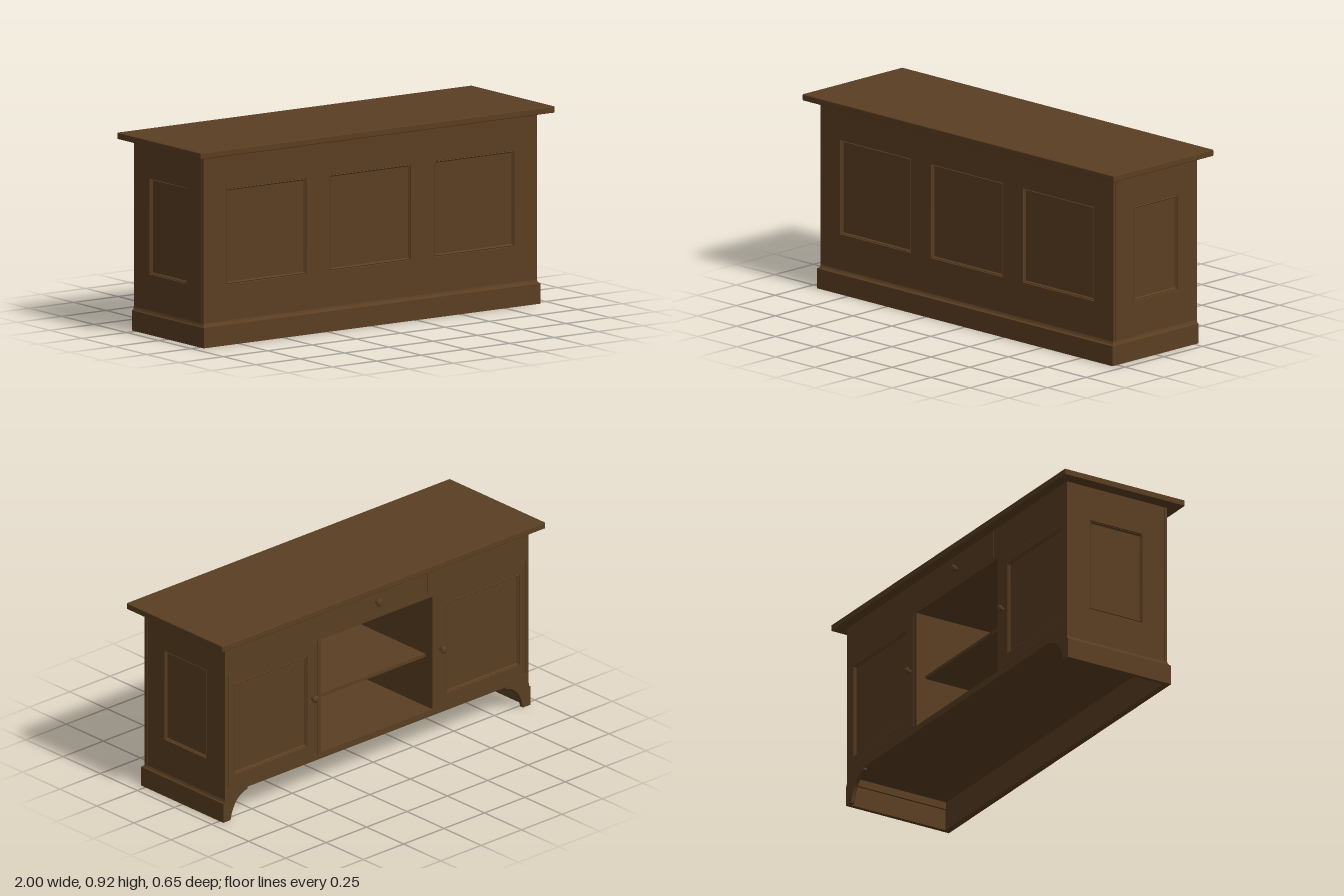
import * as THREE from 'three';
import { toCreasedNormals } from 'three/addons/utils/BufferGeometryUtils.js';
import { RoundedBoxGeometry } from 'three/addons/geometries/RoundedBoxGeometry.js';

const wood = new THREE.MeshStandardMaterial({ color: 0x5a3e22 });
wood.name = 'dark wood';

function mesh(name, geometry, parent) {
  const m = new THREE.Mesh(geometry, wood);
  m.name = name;
  parent.add(m);
  return m;
}

// Box given by its limits on each axis
function box(name, parent, x0, x1, y0, y1, z0, z1) {
  const m = mesh(name, new THREE.BoxGeometry(x1 - x0, y1 - y0, z1 - z0), parent);
  m.position.set((x0 + x1) / 2, (y0 + y1) / 2, (z0 + z1) / 2);
}

function corners([x0, x1, y0, y1], inset = 0) {
  return [[x0 + inset, y0 + inset], [x1 - inset, y0 + inset], [x1 - inset, y1 - inset], [x0 + inset, y1 - inset]];
}

function rect(limits, Type) {
  return new Type(corners(limits).map(p => new THREE.Vector2(...p)));
}

function creased(positions, angle) {
  const g = new THREE.BufferGeometry();
  g.setAttribute('position', new THREE.Float32BufferAttribute(positions, 3));
  return toCreasedNormals(g, angle);
}

// Mitred moulding running around a panel, from the board face down to the panel
function mouldingGeometry(limits) {
  const profile = [[0, 0], [0.002, -0.005], [0.005, -0.002], [0.008, -0.004], [0.011, -0.011]];
  const rings = profile.map(([inset, z]) => corners(limits, inset).map(([x, y]) => [x, y, z]));
  const v = [];
  for (let r = 0; r < rings.length - 1; r++) for (let i = 0; i < 4; i++) {
    const j = (i + 1) % 4;
    const [a, b, c, d] = [rings[r][i], rings[r][j], rings[r + 1][j], rings[r + 1][i]];
    v.push(...a, ...b, ...c, ...a, ...c, ...d);
  }
  return creased(v, 0.6);
}

// Board with its face at local z = 0 and recessed, moulded panels
function panelledBoard(name, parent, outline, thickness, panels) {
  const group = new THREE.Group();
  group.name = name;
  parent.add(group);
  const shape = rect(outline, THREE.Shape);
  panels.forEach(p => shape.holes.push(rect(p, THREE.Path)));
  mesh('boardFrame', new THREE.ExtrudeGeometry(shape, { depth: thickness, bevelEnabled: false }), group)
    .position.z = -thickness;
  for (const p of panels) {
    box('recessedPanel', group, ...p, -thickness, -0.01);
    mesh('panelMoulding', mouldingGeometry(p), group);
  }
  return group;
}

// Plinth moulding swept around the front and both ends, with mitred corners
function plinthGeometry() {
  const profile = [[-1, 0], [1, 0], [1, 0.094], [0.6, 0.096], [0.3, 0.1], [0.08, 0.106], [0, 0.112], [-1, 0.112]];
  const sections = [[1, -1], [1, 1], [-1, 1], [-1, -1]].map(([sx, sz]) => profile.map(([t, y]) =>
    [sx * (0.94 + 0.01 * t), y, sz > 0 ? 0.265 + 0.015 * t : -0.275]));
  const v = [];
  const n = profile.length;
  for (let s = 0; s < 3; s++) for (let i = 0; i < n; i++) {
    const j = (i + 1) % n;
    const [a, b, c, d] = [sections[s][i], sections[s][j], sections[s + 1][j], sections[s + 1][i]];
    v.push(...a, ...b, ...c, ...a, ...c, ...d);
  }
  for (let i = 1; i < n - 1; i++) {
    v.push(...sections[0][0], ...sections[0][i + 1], ...sections[0][i]);
    v.push(...sections[3][0], ...sections[3][i], ...sections[3][i + 1]);
  }
  return creased(v, 0.6);
}

function knob(name, parent, x, y, z) {
  const points = [[0.001, 0], [0.01, 0], [0.008, 0.003], [0.007, 0.009], [0.012, 0.011], [0.016, 0.015],
    [0.0175, 0.019], [0.016, 0.024], [0.01, 0.028], [0, 0.029]].map(p => new THREE.Vector2(...p));
  const m = mesh(name, new THREE.LatheGeometry(points, 24), parent);
  m.rotation.x = -Math.PI / 2;
  m.position.set(x, y, z);
}

export function createModel() {
  const model = new THREE.Group();
  model.name = 'counter';

  // Worktop and plinth
  mesh('worktop', new RoundedBoxGeometry(2, 0.03, 0.646, 2, 0.004), model).position.y = 0.901;
  mesh('plinth', plinthGeometry(), model);

  // Front with three panels
  const front = panelledBoard('frontBoard', model, [-0.94, 0.94, 0.1, 0.887], 0.015,
    [[-0.815, -0.36, 0.278, 0.723], [-0.23, 0.23, 0.278, 0.723], [0.36, 0.815, 0.278, 0.723]]);
  front.position.z = 0.265;

  // Ends, set just behind the front board
  const left = panelledBoard('leftEnd', model, [-0.247, 0.275, 0.1, 0.887], 0.02, [[-0.133, 0.152, 0.277, 0.722]]);
  left.position.x = 0.94;
  left.rotation.y = Math.PI / 2;
  const right = panelledBoard('rightEnd', model, [-0.275, 0.247, 0.1, 0.887], 0.02, [[-0.152, 0.133, 0.277, 0.722]]);
  right.position.x = -0.94;
  right.rotation.y = -Math.PI / 2;

  // Inside: floor, shelf and ceiling of the open bay
  box('floor', model, -0.92, 0.92, 0.135, 0.165, -0.275, 0.247);
  box('shelf', model, -0.352, 0.352, 0.412, 0.428, -0.225, 0.247);
  box('bayCeiling', model, -0.352, 0.352, 0.732, 0.753, -0.275, 0.247);

  // Drawer between two fixed rails
  box('drawerFront', model, -0.31, 0.31, 0.755, 0.885, -0.275, -0.25);
  knob('drawerKnob', model, 0, 0.815, -0.275);

  for (const s of [-1, 1]) {
    const span = (a, b) => (s > 0 ? [a, b] : [-b, -a]);
    box('divider', model, ...span(0.346, 0.368), 0.16, 0.75, -0.275, 0.247);
    box('topRail', model, ...span(0.312, 0.92), 0.732, 0.887, -0.275, -0.25);

    // Panelled door, facing the back
    const d = span(0.37, 0.918), p = span(0.43, 0.885);
    const door = panelledBoard('door', model, [-d[1], -d[0], 0.167, 0.73], 0.02, [[-p[1], -p[0], 0.22, 0.675]]);
    door.rotation.y = Math.PI;
    door.position.z = -0.275;
    knob('doorKnob', model, s * 0.397, 0.455, -0.276);

    // Curved bracket foot
    const foot = new THREE.Shape();
    foot.moveTo(s * 0.939, 0);
    foot.lineTo(s * 0.939, 0.136);
    foot.lineTo(s * 0.8, 0.136);
    foot.lineTo(s * 0.8, 0.125);
    foot.quadraticCurveTo(s * 0.885, 0.11, s * 0.905, 0);
    mesh('bracketFoot', new THREE.ExtrudeGeometry(foot, { depth: 0.02, bevelEnabled: false, curveSegments: 10 }), model)
      .position.z = -0.275;
  }
  return model;
}
